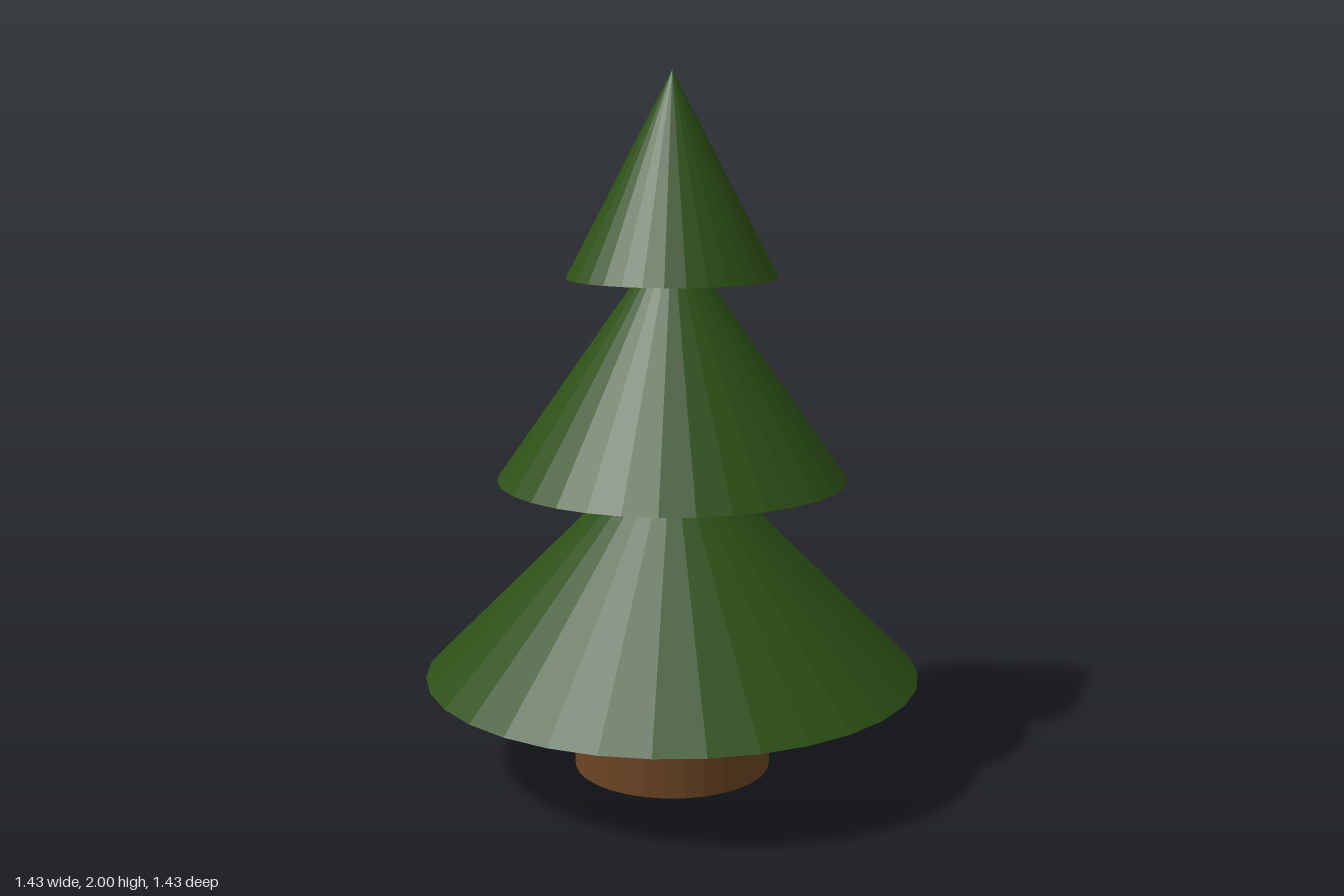
import * as THREE from 'three';

const SIDES = 32;

export function createModel() {
  const tree = new THREE.Group();
  tree.name = 'tree';
  const bark = new THREE.MeshStandardMaterial({ color: 0x6b4423, flatShading: true });
  const leaves = new THREE.MeshStandardMaterial({ color: 0x2d5016, flatShading: true });

  // Trunk
  const trunk = new THREE.Mesh(new THREE.CylinderGeometry(0.286, 0.286, 0.286, SIDES), bark);
  trunk.name = 'trunk';
  trunk.position.y = 0.143;
  tree.add(trunk);

  // Foliage tiers: green cones with brown undersides
  const tiers = [
    { name: 'lowerFoliage', radius: 0.714, base: 0.286, height: 0.714 },
    { name: 'middleFoliage', radius: 0.5, base: 0.857, height: 0.714 },
    { name: 'upperFoliage', radius: 0.3, base: 1.429, height: 0.571 },
  ];
  for (const { name, radius, base, height } of tiers) {
    // Material slots: side, top cap (unused), bottom cap
    const cone = new THREE.Mesh(new THREE.ConeGeometry(radius, height, SIDES), [leaves, leaves, bark]);
    cone.name = name;
    cone.position.y = base + height / 2;
    tree.add(cone);
  }
  return tree;
}
